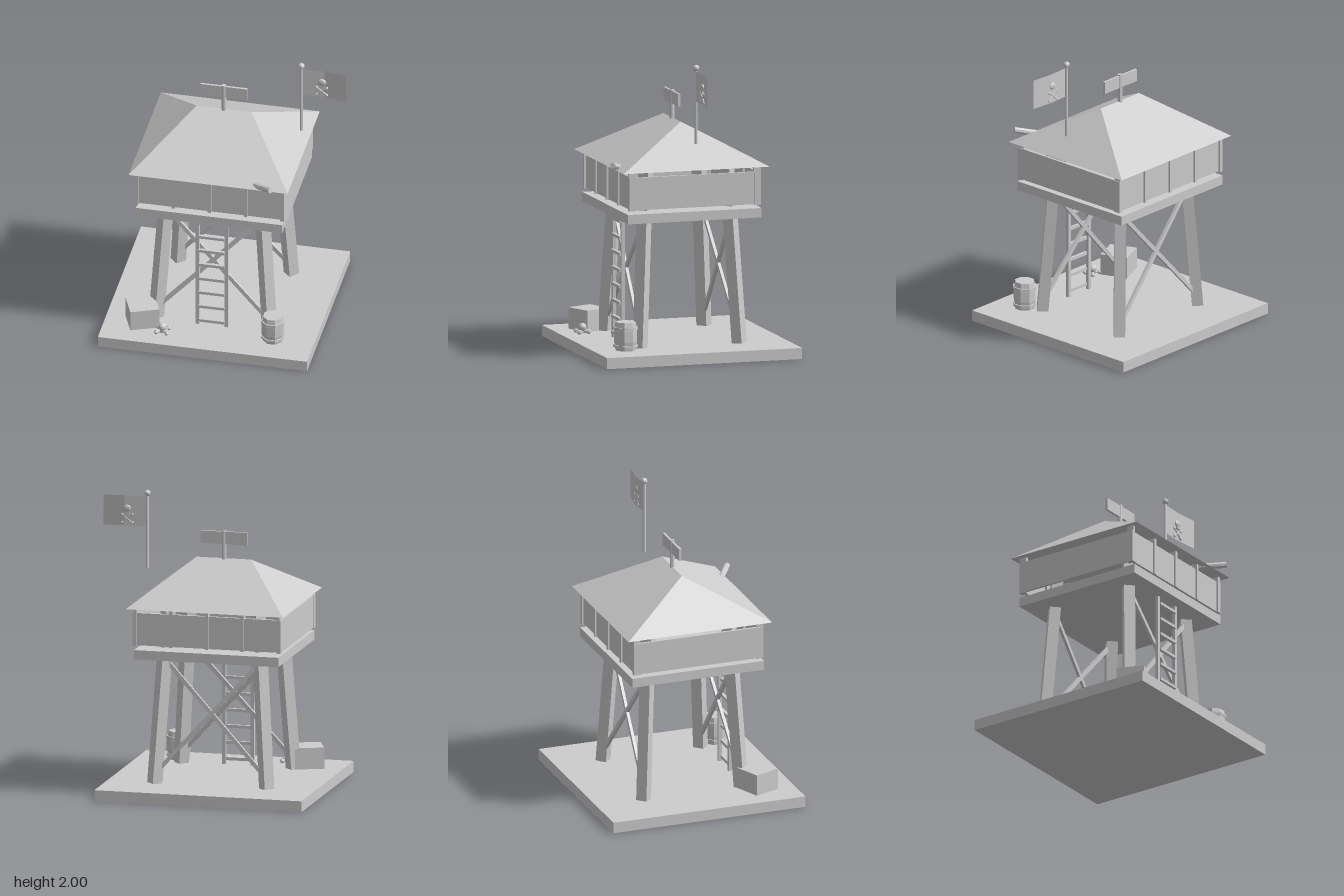
import * as THREE from 'three';

const grey = new THREE.MeshStandardMaterial({ color: 0xcccccc, flatShading: true });
grey.name = 'plain grey';
const greySheet = new THREE.MeshStandardMaterial({ color: 0xcccccc, flatShading: true, side: THREE.DoubleSide });
greySheet.name = 'plain grey';

const CX = -0.063; // tower centre line
const GROUND = 0.075;
const V = (x, y, z) => new THREE.Vector3(x, y, z);

function add(parent, name, geometry, x = 0, y = 0, z = 0, material = grey) {
  const mesh = new THREE.Mesh(geometry, material);
  mesh.name = name;
  mesh.position.set(x, y, z);
  parent.add(mesh);
  return mesh;
}

// Box given by its lower and upper limits
function block(parent, name, x0, x1, y0, y1, z0, z1) {
  return add(parent, name, new THREE.BoxGeometry(x1 - x0, y1 - y0, z1 - z0),
    (x0 + x1) / 2, (y0 + y1) / 2, (z0 + z1) / 2);
}

// Stretch an upright geometry of unit height between two points
function between(parent, name, geometry, a, b) {
  const dir = b.clone().sub(a);
  geometry.scale(1, dir.length(), 1);
  const mid = a.clone().add(b).multiplyScalar(0.5);
  const mesh = add(parent, name, geometry, mid.x, mid.y, mid.z);
  mesh.quaternion.setFromUnitVectors(V(0, 1, 0), dir.normalize());
  return mesh;
}

// Skull with two crossed bones, facing +z; bones lie in the xy plane
function skull(parent, name, r) {
  const g = new THREE.Group();
  g.name = name;
  add(g, 'cranium', new THREE.IcosahedronGeometry(r, 1));
  add(g, 'jaw', new THREE.BoxGeometry(r * 1.1, r * 0.8, r * 1.1), 0, -r, r * 0.15);
  parent.add(g);
  return g;
}
function crossedBones(parent, halfW, halfH, r) {
  const g = new THREE.Group();
  g.name = 'crossedBones';
  for (const s of [-1, 1]) {
    between(g, 'bone', new THREE.CylinderGeometry(r, r, 1, 6), V(-s * halfW, -halfH, 0), V(s * halfW, halfH, 0));
    for (const e of [-1, 1]) add(g, 'boneKnob', new THREE.IcosahedronGeometry(r * 1.9, 0), s * halfW * e, halfH * e, 0);
  }
  parent.add(g);
  return g;
}

function roofGeometry() {
  const e = 1.285, t = 1.56;
  const A = [-0.605, e, 0.512], B = [0.482, e, 0.512], C = [0.482, e, -0.512], D = [-0.605, e, -0.512];
  const L = [-0.25, t, 0], R = [0.127, t, 0];
  const tris = [A, B, R, A, R, L, C, D, L, C, L, R, B, C, R, D, A, L, A, D, C, A, C, B];
  const g = new THREE.BufferGeometry();
  g.setAttribute('position', new THREE.Float32BufferAttribute(tris.flat(), 3));
  g.computeVertexNormals();
  return g;
}

function buildTower(root) {
  const g = new THREE.Group();
  g.name = 'tower';
  root.add(g);
  // Leaning legs set diagonally, up through the platform
  for (const sx of [-1, 1]) for (const sz of [-1, 1]) {
    const geo = new THREE.BoxGeometry(0.075, 1, 0.075).rotateY(Math.PI / 4);
    between(g, 'leg', geo, V(CX + sx * 0.387, GROUND, sz * 0.348), V(CX + sx * 0.31, 1.253, sz * 0.285));
  }
  // Cross braces at the front and back
  for (const sz of [-1, 1]) for (const s of [-1, 1])
    between(g, 'brace', new THREE.BoxGeometry(0.027, 1, 0.02),
      V(CX - s * 0.355, 0.175, sz * 0.342), V(CX + s * 0.3, 0.89, sz * 0.307));

  block(g, 'platform', CX - 0.5, CX + 0.5, 0.936, 1.0, -0.47, 0.47);

  // Parapet walls
  for (const s of [-1, 1]) {
    const wz = s * 0.44, wx = CX + s * 0.502;
    block(g, 'longWall', CX - 0.5, CX + 0.5, 1.03, 1.25, wz - 0.01, wz + 0.01);
    block(g, 'sideWall', wx - 0.008, wx + 0.008, 1.03, 1.25, -0.43, 0.43);
    // Posts along the long walls
    for (let i = -2; i <= 2; i++) {
      const px = CX + i * 0.247;
      block(g, 'post', px - 0.011, px + 0.011, 1.025, 1.287, s * 0.438 - 0.024, s * 0.438 + 0.024);
    }
    // Corner posts shown on the side faces
    for (const sz of [-1, 1])
      block(g, 'cornerPost', wx - 0.009, wx + 0.009, 1.025, 1.25, sz * 0.438 - 0.024, sz * 0.438 + 0.024);
  }
  add(g, 'roof', roofGeometry());
  // Sign on the ridge
  add(g, 'signPost', new THREE.CylinderGeometry(0.016, 0.016, 0.2, 8), CX, 1.65, 0);
  block(g, 'signBoard', -0.222, 0.097, 1.657, 1.742, -0.008, 0.008);
}

function buildLadder(root) {
  const g = new THREE.Group();
  g.name = 'ladder';
  root.add(g);
  for (const s of [-1, 1]) {
    const x = CX + s * 0.098;
    block(g, 'rail', x - 0.012, x + 0.012, GROUND, 0.94, 0.365, 0.388);
  }
  for (let i = 0; i < 8; i++) {
    const y = 0.11 + i * 0.111;
    block(g, 'rung', CX - 0.09, CX + 0.09, y - 0.01, y + 0.01, 0.377, 0.398);
  }
}

function buildFlag(root) {
  const g = new THREE.Group();
  g.name = 'flag';
  root.add(g);
  add(g, 'pole', new THREE.CylinderGeometry(0.011, 0.011, 0.505, 8), 0.467, 1.717, 0);
  add(g, 'poleBall', new THREE.IcosahedronGeometry(0.022, 1), 0.467, 1.977, 0);
  // Cloth with a gentle bend
  const cloth = new THREE.PlaneGeometry(0.3, 0.205, 2, 1);
  const p = cloth.attributes.position;
  for (let i = 0; i < p.count; i++) {
    const x = p.getX(i);
    p.setZ(i, x > 0.1 ? 0.018 : x > -0.1 ? -0.004 : 0.003);
    p.setY(i, p.getY(i) + (x > 0.1 ? -0.003 : 0.003));
  }
  cloth.computeVertexNormals();
  add(g, 'cloth', cloth, 0.625, 1.848, 0, greySheet);
  // Emblem showing on both sides
  const emblem = skull(g, 'flagSkull', 0.03);
  emblem.position.set(0.608, 1.865, 0);
  emblem.scale.set(1, 0.9, 0.45);
  const bones = crossedBones(g, 0.035, 0.028, 0.006);
  bones.position.set(0.606, 1.795, 0);
}

function buildProps(root) {
  // Crate
  const crate = new THREE.Group();
  crate.name = 'crate';
  crate.position.set(-0.527, GROUND, 0.436);
  crate.rotation.y = 0.39;
  add(crate, 'crateBox', new THREE.BoxGeometry(0.197, 0.145, 0.19), 0, 0.0725, 0);
  root.add(crate);

  // Barrel with staves, hoops and lid
  const barrel = new THREE.Group();
  barrel.name = 'barrel';
  barrel.position.set(0.373, GROUND, 0.465);
  const profile = [[0, 0], [0.068, 0], [0.078, 0.06], [0.078, 0.135], [0.068, 0.192], [0, 0.192]];
  add(barrel, 'barrelBody', new THREE.LatheGeometry(profile.map(([x, y]) => new THREE.Vector2(x, y)), 8));
  for (const y of [0.03, 0.15]) add(barrel, 'hoop', new THREE.CylinderGeometry(0.083, 0.083, 0.016, 8), 0, y, 0);
  barrel.rotation.y = Math.PI / 8;
  root.add(barrel);

  // Skull and bones on the ground
  const pile = new THREE.Group();
  pile.name = 'bonePile';
  pile.position.set(-0.37, GROUND, 0.53);
  const head = skull(pile, 'groundSkull', 0.029);
  head.position.y = 0.042;
  const bones = crossedBones(pile, 0.036, 0.034, 0.009);
  bones.rotation.x = -Math.PI / 2;
  bones.position.y = 0.014;
  root.add(pile);

  // Spyglass resting on the parapet
  const scope = new THREE.Group();
  scope.name = 'spyglass';
  const a = V(0.125, 1.257, 0.375), b = V(0.376, 1.328, 0.557);
  const parts = [[0, 0.25, 0.011], [0.22, 0.5, 0.015], [0.46, 1, 0.021]];
  for (const [s, e, r] of parts)
    between(scope, 'spyglassTube', new THREE.CylinderGeometry(r, r, 1, 8), a.clone().lerp(b, s), a.clone().lerp(b, e));
  root.add(scope);
}

export function createModel() {
  const root = new THREE.Group();
  root.name = 'watchtower';
  block(root, 'base', -0.778, 0.653, 0, GROUND, -0.685, 0.685);
  buildTower(root);
  buildLadder(root);
  buildFlag(root);
  buildProps(root);
  return root;
}
